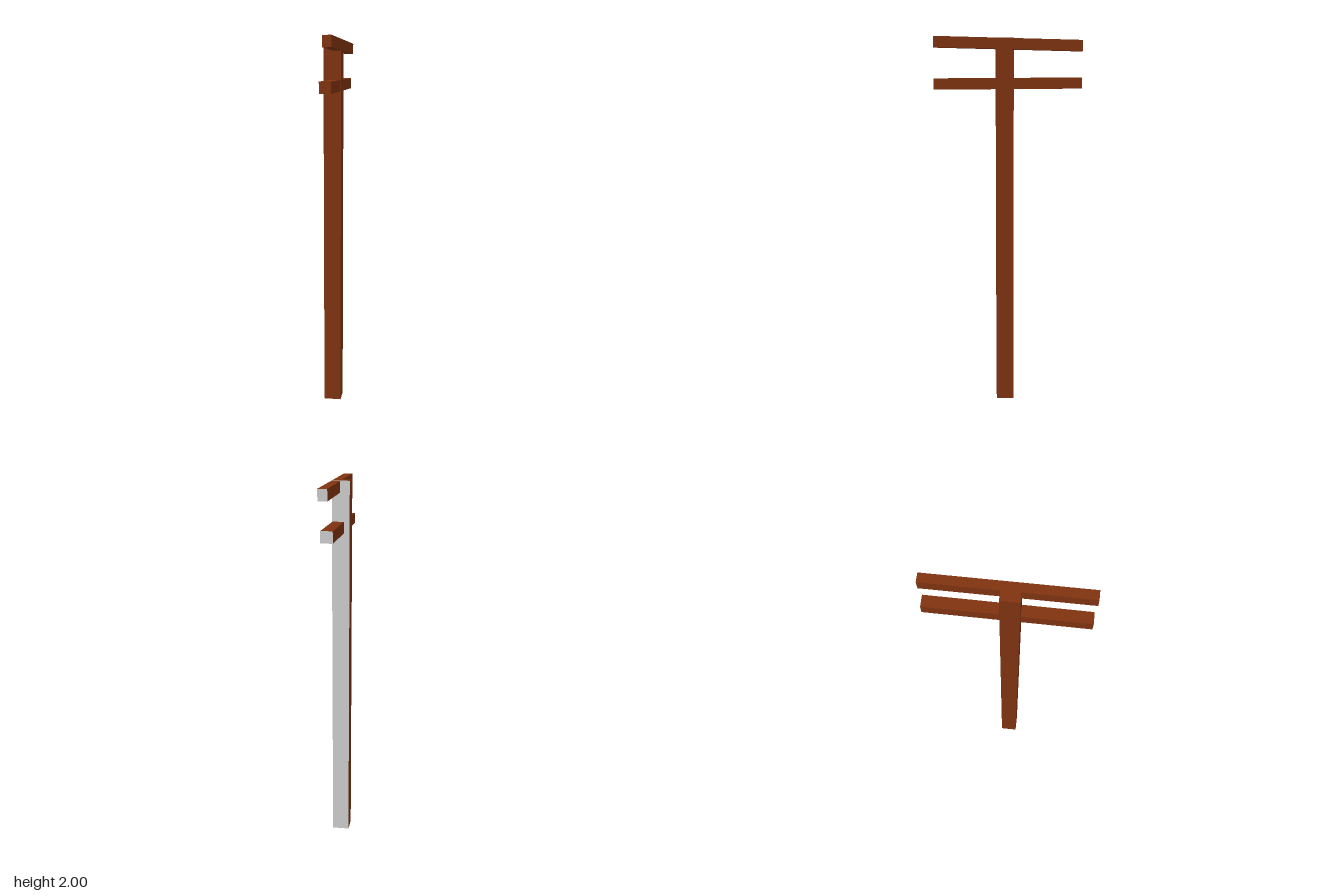
import * as THREE from 'three';

export function createModel() {
  const model = new THREE.Group();
  model.name = 'utilityPole';

  const wood = new THREE.MeshStandardMaterial({ color: 0x7f3310, flatShading: true });
  const bare = new THREE.MeshStandardMaterial({ color: 0xcccccc, flatShading: true });
  // Wood on every side except the plain grey back face (-z)
  const sides = [wood, wood, wood, wood, wood, bare];

  function beam(name, size, position, pitch = 0, yaw = 0) {
    const mesh = new THREE.Mesh(new THREE.BoxGeometry(...size), sides);
    mesh.name = name;
    mesh.position.set(...position);
    mesh.rotation.set(pitch, yaw, 0);
    model.add(mesh);
  }

  // Upright post
  beam('post', [0.092, 1.992, 0.092], [-0.005, 0.996, 0.016]);
  // Slightly crooked cross arms: the upper overlaps the side, the lower passes through
  beam('upperCrossArm', [0.047, 0.057, 0.783], [0.0215, 1.9625, -0.001], -0.023, -0.008);
  beam('lowerCrossArm', [0.06, 0.058, 0.783], [0.008, 1.758, -0.001], 0.007, 0.004);

  return model;
}
